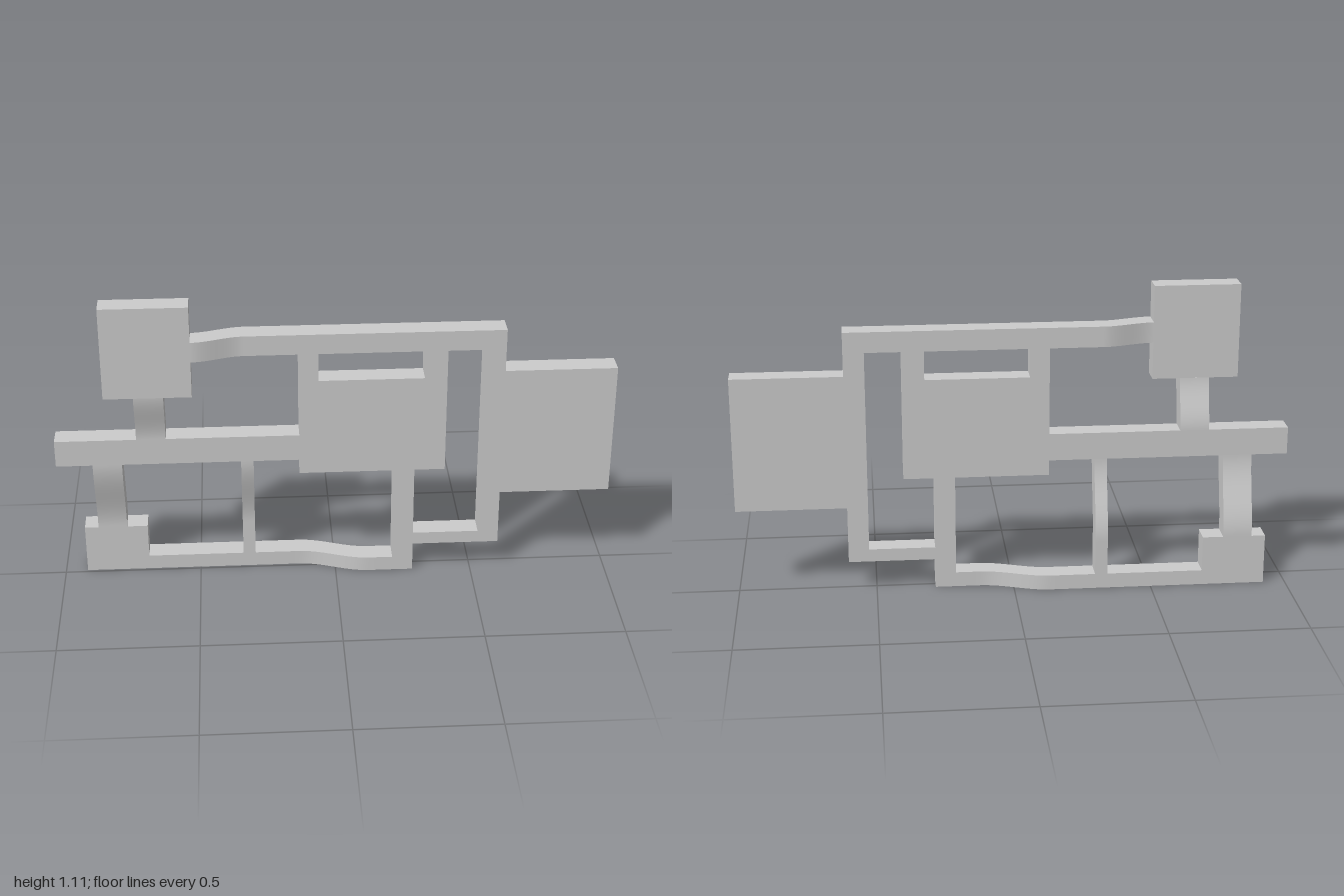
import * as THREE from 'three';

const T = 0.08;        // plate thickness
const MID = 0.01;      // z centre of the main frame
const FRONT = 0.04;    // offset of the forward pad
const BACK = -0.06;    // offset of the rearward bar and pad

const material = new THREE.MeshStandardMaterial({ color: 0xcccccc });

export function createModel() {
  const group = new THREE.Group();

  const add = (name, geometry) => {
    const mesh = new THREE.Mesh(geometry, material);
    mesh.name = name;
    group.add(mesh);
  };

  // Rectangular bar whose z offset eases from 0 at a to the full offset at b along an axis
  const bar = (name, x0, x1, y0, y1, offset = 0, axis = 'x', a = 0, b = 0) => {
    const bent = a !== b;
    const n = bent ? 40 : 1;
    const g = new THREE.BoxGeometry(x1 - x0, y1 - y0, T,
      axis === 'x' ? n : 1, axis === 'y' ? n : 1, 1);
    g.translate((x0 + x1) / 2, (y0 + y1) / 2, MID);
    const p = g.attributes.position;
    for (let i = 0; i < p.count; i++) {
      const v = axis === 'x' ? p.getX(i) : p.getY(i);
      const t = bent ? THREE.MathUtils.clamp((v - a) / (b - a), 0, 1) : 1;
      p.setZ(i, p.getZ(i) + offset * t * t * (3 - 2 * t));
    }
    g.computeVertexNormals();
    add(name, g);
  };

  // Flat frame with centre panel, side panel and middle arm
  const points = (list) => list.map(([x, y]) => new THREE.Vector2(x, y));
  const outline = new THREE.Shape(points([
    [0.21, 0], [0.285, 0], [0.285, 0.11], [0.6, 0.11], [0.6, 0.32], [1, 0.32],
    [1, 0.815], [0.6, 0.815], [0.6, 0.975], [-0.32, 0.975], [-0.32, 0.9],
    [-0.13, 0.9], [-0.13, 0.58], [-1, 0.58], [-1, 0.48], [-0.13, 0.48],
    [-0.13, 0.425], [0.21, 0.425],
  ]));
  outline.holes.push(
    new THREE.Path(points([[-0.06, 0.795], [-0.06, 0.9], [0.315, 0.9], [0.315, 0.795]])),
    new THREE.Path(points([
      [0.285, 0.157], [0.285, 0.425], [0.395, 0.425], [0.395, 0.9], [0.525, 0.9], [0.525, 0.157],
    ])),
  );
  const frame = new THREE.ExtrudeGeometry(outline, { depth: T, bevelEnabled: false });
  frame.translate(0, 0, MID - T / 2);
  add('mainFrame', frame);

  // Forward pad and its bent links
  bar('upperPad', -0.815, -0.505, 0.765, 1.108, FRONT);
  bar('topLink', -0.505, -0.32, 0.9, 0.975, FRONT, 'x', -0.32, -0.505);
  bar('upperStrap', -0.71, -0.605, 0.58, 0.765, FRONT, 'y', 0.58, 0.78);

  // Rearward pad, bent bottom bar and bent straps
  bar('lowerPad', -0.92, -0.69, 0, 0.185, BACK);
  bar('bottomBar', -0.69, 0.21, 0, 0.055, BACK, 'x', 0.12, -0.13);
  bar('outerStrap', -0.87, -0.765, 0.185, 0.48, BACK, 'y', 0.48, 0.19);
  bar('innerStrap', -0.34, -0.295, 0.055, 0.48, BACK, 'y', 0.48, 0.19);

  return group;
}
